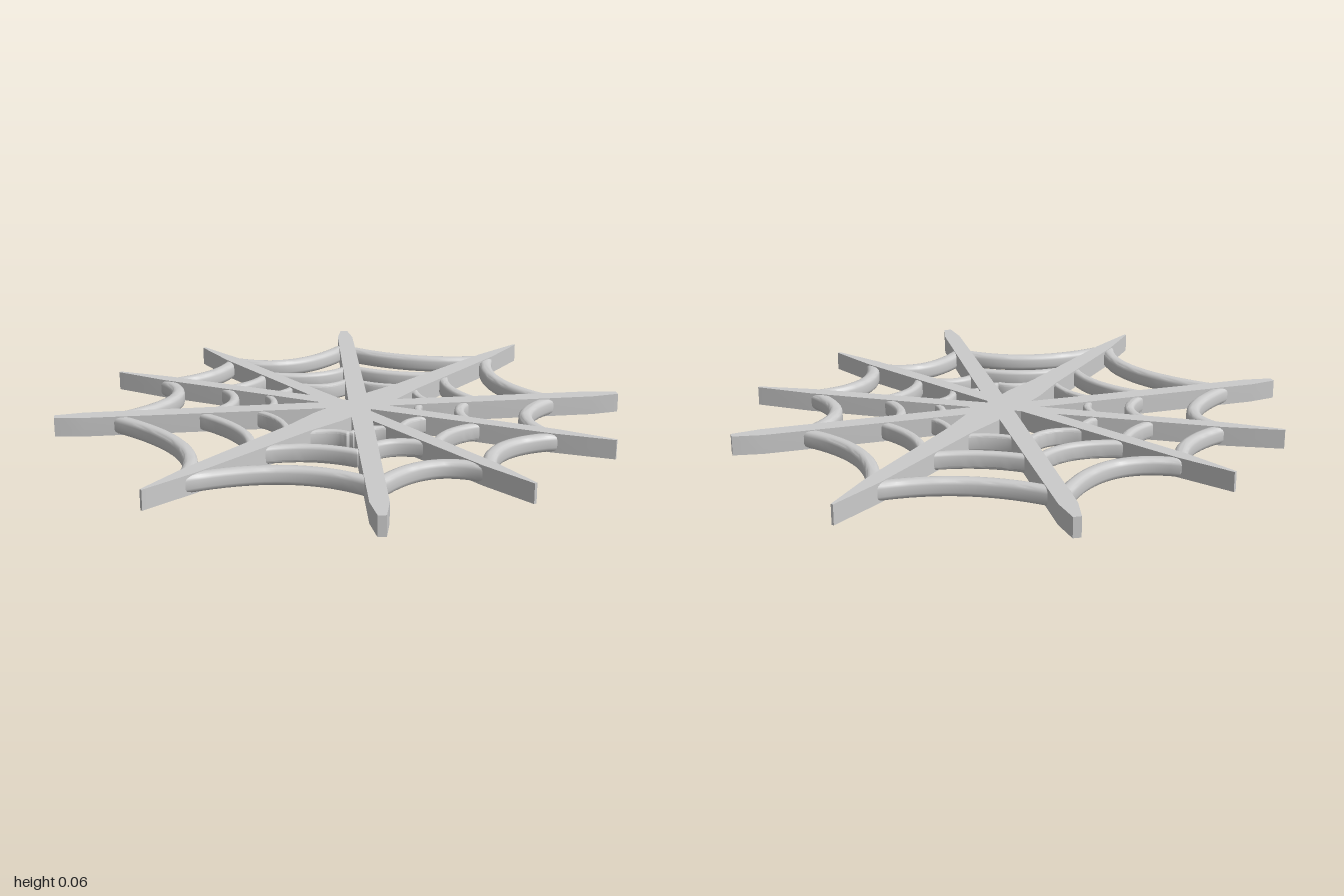
import * as THREE from 'three';
import { toCreasedNormals } from 'three/addons/utils/BufferGeometryUtils.js';

const HEIGHT = 0.065;
const material = new THREE.MeshStandardMaterial({ color: 0xcccccc });

// Extrudes an outline given in (x, z) upward, resting between y0 and y1
function slab(name, outline, y0, y1, bevel = 0) {
  const geometry = new THREE.ExtrudeGeometry(new THREE.Shape(outline), {
    depth: y1 - y0 - 2 * bevel,
    bevelEnabled: bevel > 0,
    bevelThickness: bevel,
    bevelSize: bevel,
    bevelOffset: -bevel,
    bevelSegments: 3,
  });
  geometry.rotateX(Math.PI / 2).translate(0, y1 - bevel, 0);
  const mesh = new THREE.Mesh(toCreasedNormals(geometry, 0.7), material);
  mesh.name = name;
  return mesh;
}

// Tapered bar between two opposite tips; profile = [fraction from middle, half width]
function spoke(name, a, b, profile) {
  const start = new THREE.Vector2(...a), end = new THREE.Vector2(...b);
  const middle = start.clone().add(end).multiplyScalar(0.5);
  const half = end.clone().sub(middle);
  const side = new THREE.Vector2(-half.y, half.x).normalize();
  const at = (t, w) => middle.clone().addScaledVector(half, t).addScaledVector(side, w);
  const edge = [...profile].reverse().map(([t, w]) => [-t, w]).concat(profile);
  const outline = edge.map(([t, w]) => at(t, -w))
    .concat(edge.reverse().map(([t, w]) => at(t, w)));
  return slab(name, outline, 0, HEIGHT);
}

// Curved thread from a to b passing through mid, with rounded edges
function strand(name, a, mid, b, width) {
  const p = new THREE.Vector2(...a), q = new THREE.Vector2(...b);
  const control = new THREE.Vector2(...mid).multiplyScalar(2)
    .sub(p.clone().add(q).multiplyScalar(0.5));
  const curve = new THREE.QuadraticBezierCurve(p, control, q);
  const inner = [], outer = [];
  for (let i = 0; i <= 16; i++) {
    const point = curve.getPoint(i / 16), t = curve.getTangent(i / 16);
    const normal = new THREE.Vector2(-t.y, t.x).multiplyScalar(width / 2);
    outer.push(point.clone().sub(normal));
    inner.push(point.clone().add(normal));
  }
  return slab(name, outer.concat(inner.reverse()), 0.004, HEIGHT - 0.003, width * 0.36);
}

// Spoke tips as (x, z), clockwise from the back
const tips = [[0.03, -0.995], [0.65, -0.69], [0.89, -0.25], [0.89, 0.235], [0.69, 0.71],
  [0.03, 0.995], [-0.68, 0.72], [-0.895, 0.23], [-0.885, -0.2], [-0.62, -0.735]];

const longProfile = [[0.15, 0.062], [0.3, 0.045], [0.8, 0.027], [1, 0.004]];
const diagonalProfile = [[0.1, 0.034], [0.9, 0.029], [1, 0.013]];
const sideProfile = [[0.1, 0.03], [0.78, 0.024], [1, 0.005]];
const spokes = [
  ['longSpoke', longProfile], ['diagonalSpoke', diagonalProfile], ['sideSpoke', sideProfile],
  ['sideSpoke', sideProfile], ['diagonalSpoke', diagonalProfile]];

// Rings of thread: joints on the spokes and the sagging middle after each joint
const rings = [
  { name: 'outerThread', width: 0.046,
    joints: [[0.03, -0.8], [0.49, -0.52], [0.7, -0.19], [0.7, 0.185], [0.51, 0.5],
      [0.03, 0.83], [-0.55, 0.575], [-0.7, 0.185], [-0.7, -0.17], [-0.495, -0.57]],
    mids: [[0.215, -0.59], [0.515, -0.305], [0.62, 0], [0.535, 0.275], [0.23, 0.575],
      [-0.18, 0.625], [-0.545, 0.3], [-0.65, 0], [-0.515, -0.3], [-0.2, -0.625]] },
  { name: 'middleThread', width: 0.034,
    joints: [[0.03, -0.52], [0.29, -0.34], [0.45, -0.12], [0.45, 0.12], [0.31, 0.33],
      [0.03, 0.53], [-0.34, 0.375], [-0.48, 0.12], [-0.475, -0.11], [-0.3, -0.37]],
    mids: [[0.135, -0.4], [0.315, -0.205], [0.415, 0], [0.32, 0.195], [0.145, 0.395],
      [-0.12, 0.41], [-0.35, 0.205], [-0.45, 0], [-0.335, -0.22], [-0.12, -0.415]] },
  { name: 'innerThread', width: 0.026,
    joints: [[0.03, -0.33], [0.18, -0.22], [0.28, -0.075], [0.28, 0.075], [0.18, 0.22],
      [0.03, 0.35], [-0.21, 0.24], [-0.31, 0.08], [-0.31, -0.075], [-0.2, -0.25]],
    mids: [[0.1, -0.255], [0.195, -0.13], [0.25, 0], [0.2, 0.125], [0.1, 0.245],
      [-0.085, 0.26], [-0.22, 0.14], [-0.285, 0], [-0.215, -0.14], [-0.08, -0.26]] },
];

export function createModel() {
  const model = new THREE.Group();
  model.name = 'spiderWeb';

  // Five bars crossing at the hub
  spokes.forEach(([name, profile], i) => model.add(spoke(name, tips[i], tips[i + 5], profile)));

  // Three rings of sagging threads
  for (const { name, width, joints, mids } of rings) {
    const ring = new THREE.Group();
    ring.name = name + 'Ring';
    joints.forEach((joint, i) =>
      ring.add(strand(name, joint, mids[i], joints[(i + 1) % joints.length], width)));
    model.add(ring);
  }
  return model;
}
